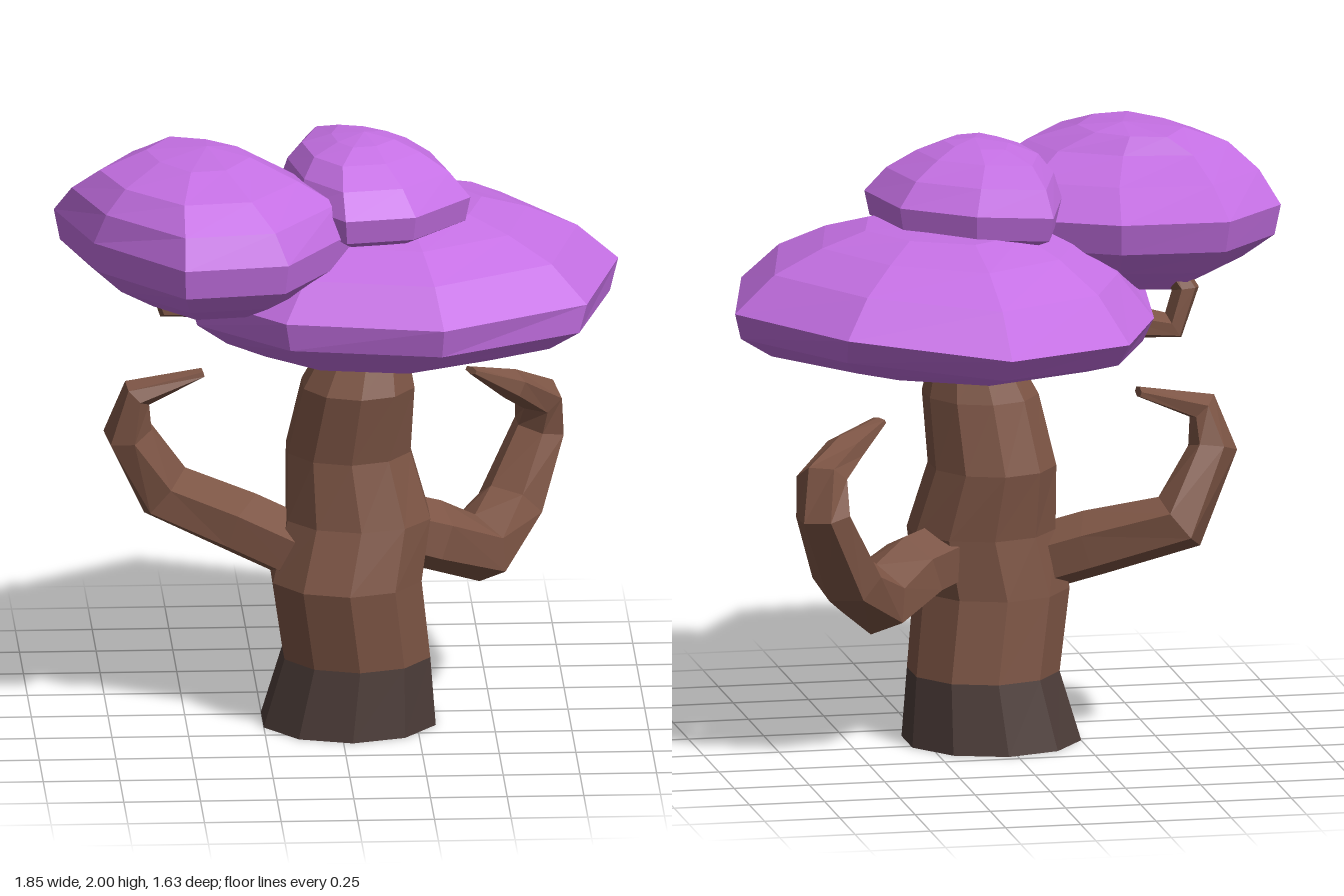
import * as THREE from 'three';

const V = (x, y, z) => new THREE.Vector3(x, y, z);
const paint = (color, side = THREE.FrontSide) =>
  new THREE.MeshStandardMaterial({ color, flatShading: true, side });

// Skin a list of rings (each an array of points) with faceted quads.
function loft(name, rings, material) {
  const out = [];
  const tri = (a, b, c) => {
    if (a.distanceTo(b) < 1e-6 || b.distanceTo(c) < 1e-6 || c.distanceTo(a) < 1e-6) return;
    for (const p of [a, b, c]) out.push(p.x, p.y, p.z);
  };
  for (let i = 0; i < rings.length - 1; i++) {
    const n = rings[i].length;
    for (let j = 0; j < n; j++) {
      const k = (j + 1) % n;
      const a = rings[i][j], b = rings[i][k], c = rings[i + 1][k], d = rings[i + 1][j];
      tri(a, d, b);
      tri(b, d, c);
    }
  }
  const geometry = new THREE.BufferGeometry();
  geometry.setAttribute('position', new THREE.Float32BufferAttribute(out, 3));
  geometry.computeVertexNormals();
  const mesh = new THREE.Mesh(geometry, material);
  mesh.name = name;
  return mesh;
}

// Horizontal trunk ring: height, centre x, centre z, radius x, radius z.
function trunkRing([y, cx, cz, rx, rz]) {
  return Array.from({ length: 10 }, (_, j) => {
    const a = ((j + 0.5) / 10) * Math.PI * 2;
    return V(cx + Math.cos(a) * rx, y, cz + Math.sin(a) * rz);
  });
}

// Flattened branch along points [x, y, z, radius], broad along ref (normal to its bend plane).
function branch(name, path, ref, material) {
  const pts = path.map(([x, y, z]) => V(x, y, z));
  const rings = pts.map((p, i) => {
    const next = pts[Math.min(i + 1, pts.length - 1)], prev = pts[Math.max(i - 1, 0)];
    const inDir = p.clone().sub(prev).normalize(), outDir = next.clone().sub(p).normalize();
    const t = inDir.add(outDir).normalize();
    const u = t.clone().cross(ref).normalize();
    const v = u.clone().cross(t);
    const r = path[i][3], broad = r * 1.1 + 0.02;
    return Array.from({ length: 6 }, (_, j) => {
      const a = (j / 6) * Math.PI * 2;
      return p.clone().addScaledVector(u, Math.cos(a) * r).addScaledVector(v, Math.sin(a) * broad);
    });
  });
  const cap = p => Array(6).fill(p);
  return loft(name, [cap(pts[0]), ...rings, cap(pts[pts.length - 1])], material);
}

// Leaf cushion: a plan outline [x, z, rim lift] scaled per layer
// [y, scale x, scale z, shift x, shift z]; the lift fades towards the middle.
function cushion(name, [cx, cz], outline, layers, material) {
  const rings = layers.map(([y, sx, sz, dx = 0, dz = 0]) =>
    outline.map(([x, z, lift = 0]) =>
      V(cx + dx + (x - cx) * sx, y + lift * sx ** 3, cz + dz + (z - cz) * sz)));
  return loft(name, rings, material);
}

export function createModel() {
  const group = new THREE.Group();
  group.name = 'tree';
  const bark = paint(0x7d5545, THREE.DoubleSide);
  const darkBark = paint(0x4c3c38, THREE.DoubleSide);
  const leaves = paint(0xc570e4);

  // Trunk: dark foot, open underneath, and a knobbly stem
  const foot = [[0, 0.03, 0.07, 0.295, 0.29], [0.23, 0.055, 0.08, 0.25, 0.255]];
  const stem = [
    foot[1],
    [0.5, 0.02, 0.115, 0.255, 0.265],
    [0.7, 0.06, 0.09, 0.245, 0.23],
    [0.92, 0.03, 0.06, 0.21, 0.225],
    [1.15, 0.06, 0.105, 0.19, 0.215],
    [1.29, 0.085, 0.1, 0.135, 0.15],
    [1.42, 0.09, 0.1, 0.11, 0.12],
  ];
  group.add(loft('trunkFoot', foot.map(trunkRing), darkBark));
  group.add(loft('trunk', stem.map(trunkRing), bark));

  // Branches
  group.add(branch('leftBranch', [
    [0.12, 0.66, 0.04, 0.11],
    [0.3, 0.6, -0.01, 0.115],
    [0.46, 0.52, -0.11, 0.115],
    [0.575, 0.63, -0.25, 0.1],
    [0.675, 0.86, -0.355, 0.08],
    [0.67, 0.98, -0.31, 0.068],
    [0.57, 1.05, -0.2, 0.05],
    [0.44, 1.12, -0.12, 0.012],
  ], V(0.35, 0, 0.7).normalize(), bark));
  group.add(branch('rightBranch', [
    [-0.08, 0.57, 0.12, 0.11],
    [-0.3, 0.65, 0.02, 0.11],
    [-0.56, 0.735, -0.1, 0.105],
    [-0.685, 0.96, -0.03, 0.08],
    [-0.655, 1.095, 0, 0.055],
    [-0.44, 1.155, -0.02, 0.016],
  ], V(-0.25, 0, 1).normalize(), bark));
  group.add(branch('upperBranch', [
    [0.05, 1.38, 0.08, 0.08],
    [-0.3, 1.41, -0.02, 0.07],
    [-0.55, 1.38, -0.05, 0.05],
    [-0.59, 1.5, -0.05, 0.045],
    [-0.52, 1.62, 0, 0.04],
  ], V(0, 0, 1), bark));

  // Leaf cushions
  group.add(cushion('largeCanopy', [0.17, 0.02], [
    [0.14, -0.82, -0.04], [0.64, -0.59], [0.92, -0.12], [0.79, 0.42], [0.31, 0.71],
    [-0.2, 0.6], [-0.5, 0.25], [-0.46, -0.18, -0.06], [-0.31, -0.52, -0.07],
  ], [
    [1.27, 0, 0, -0.04, 0.07], [1.27, 0.56, 0.48, -0.04, 0.07], [1.325, 0.81, 0.66, 0, 0.06],
    [1.4, 0.96, 0.9, 0, 0.04], [1.495, 1, 1], [1.615, 0.82, 0.84], [1.69, 0.6, 0.62],
    [1.735, 0.4, 0.38], [1.74, 0, 0],
  ], leaves));
  group.add(cushion('sideCanopy', [-0.44, 0.24], [
    [-0.68, -0.34, 0.04], [-0.34, -0.24, 0.02], [-0.05, 0], [0.05, 0.35],
    [-0.2, 0.76], [-0.54, 0.81], [-0.82, 0.46], [-0.93, 0.06],
  ], [
    [1.49, 0, 0], [1.49, 0.48, 0.48], [1.56, 0.76, 0.74, 0, 0.01], [1.64, 0.96, 0.96], [1.74, 1, 1],
    [1.84, 0.87, 0.81, -0.01, 0.06], [1.92, 0.65, 0.57, -0.03, 0.09],
    [1.98, 0.34, 0.36, -0.03, 0.03], [2, 0, 0],
  ], leaves));
  group.add(cushion('topCanopy', [0.1, 0.1], [
    [-0.1, -0.31], [0.14, -0.24], [0.36, -0.06], [0.42, 0.23],
    [0.23, 0.46], [0.0, 0.5], [-0.14, 0.3], [-0.19, 0],
  ], [
    [1.7, 0, 0], [1.7, 0.78, 0.78], [1.73, 0.95, 0.95], [1.81, 1, 1],
    [1.89, 0.85, 0.82, -0.02], [1.95, 0.62, 0.58, -0.04],
    [1.985, 0.33, 0.33, -0.03], [2, 0, 0, -0.02],
  ], leaves));
  return group;
}
